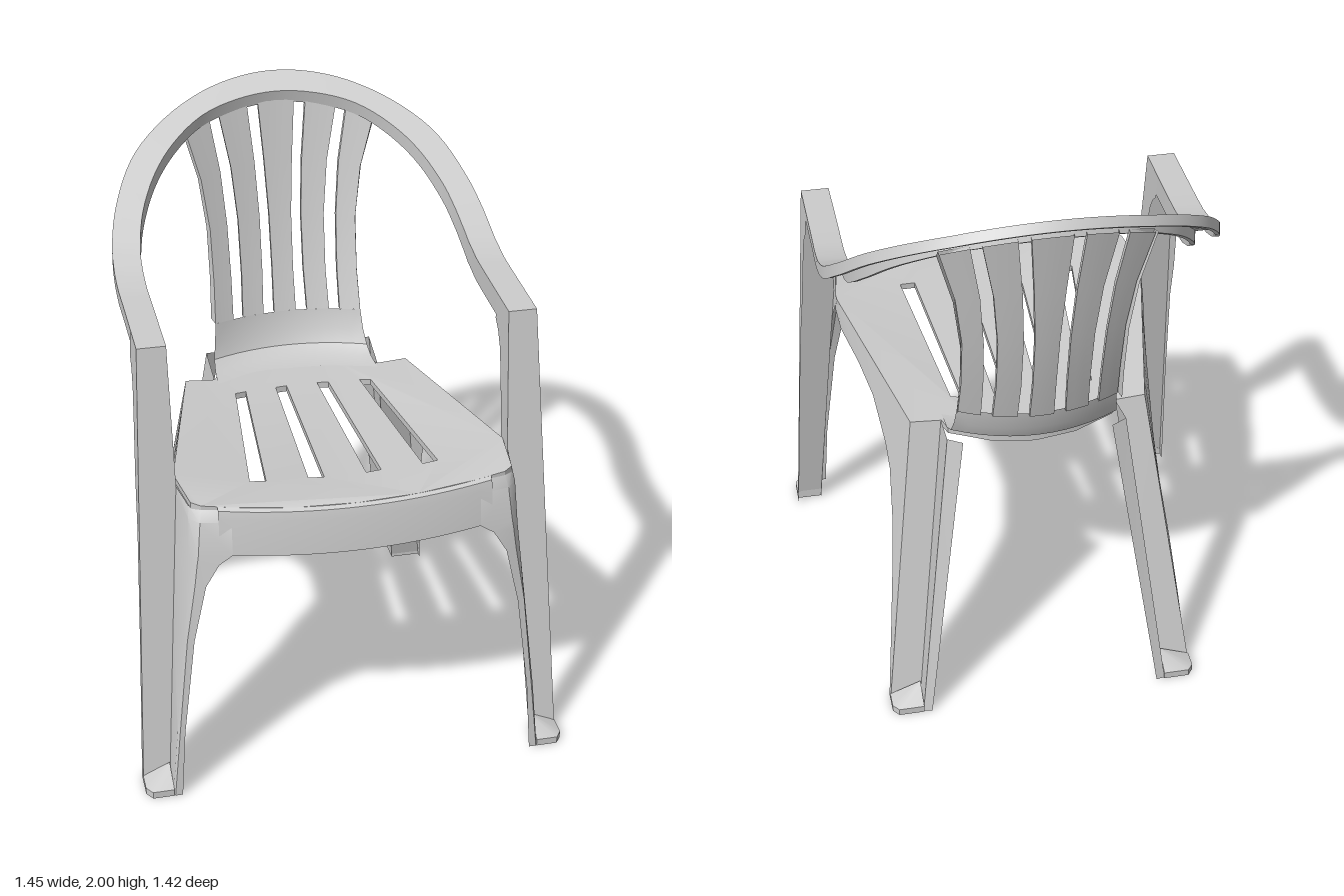
import * as THREE from 'three';
import { toCreasedNormals } from 'three/addons/utils/BufferGeometryUtils.js';

const plastic = new THREE.MeshStandardMaterial({ color: 0xcccccc, side: THREE.DoubleSide });
plastic.name = 'light grey plastic';

// Skin a list of cross-sections (rows of [x, y, z])
function loft(rows, closed = false) {
  const pos = [];
  for (let i = 0; i + 1 < rows.length; i++) {
    const a = rows[i], b = rows[i + 1], n = a.length;
    for (let j = 0; j < (closed ? n : n - 1); j++) {
      const k = (j + 1) % n;
      pos.push(...a[j], ...a[k], ...b[k], ...a[j], ...b[k], ...b[j]);
    }
  }
  const geo = new THREE.BufferGeometry();
  geo.setAttribute('position', new THREE.Float32BufferAttribute(pos, 3));
  geo.computeVertexNormals();
  return toCreasedNormals(geo, 0.6);
}

// Piecewise linear lookup in [[t, value], ...] with ascending t
function lookup(keys, t) {
  let i = 0;
  while (i < keys.length - 2 && t > keys[i + 1][0]) i++;
  const [t0, v0] = keys[i], [t1, v1] = keys[i + 1];
  return THREE.MathUtils.lerp(v0, v1, THREE.MathUtils.clamp((t - t0) / (t1 - t0), 0, 1));
}

const lerp3 = (a, b, t) => a.map((v, i) => v + (b[i] - v) * t);
const seatHeight = (x, z) => 1 + 0.05 * (z + 0.3) + 0.1 * x * x;
const seatFront = (x) => 0.665 - 0.05 * (x / 0.5) ** 2;

export function createModel() {
  const chair = new THREE.Group();
  chair.name = 'chair';
  const add = (name, geo) => {
    const mesh = new THREE.Mesh(geo, plastic);
    mesh.name = name;
    chair.add(mesh);
  };

  // Seat plate with four tapering slots
  const half = [[0.2, seatFront(0.2)], [0.4, seatFront(0.4)], [0.5, 0.615], [0.53, 0.59], [0.555, 0.4],
    [0.4, -0.3], [0.295, -0.3], [0.28, -0.34], [0.14, -0.4]];
  const outline = [[0, seatFront(0)], ...half, [0, -0.42], ...half.map(([x, z]) => [-x, z]).reverse()];
  const toShape = (pts, Type) => new Type(pts.map(([x, z]) => new THREE.Vector2(x, z)));
  const seatShape = toShape(outline, THREE.Shape);
  for (const s of [1, -1]) {
    for (const slot of [
      [[0.055, -0.21], [0.095, -0.205], [0.122, 0.47], [0.07, 0.475]],
      [[0.205, -0.19], [0.243, -0.18], [0.315, 0.465], [0.262, 0.47]],
    ]) seatShape.holes.push(toShape(slot.map(([x, z]) => [s * x, z]), THREE.Path));
  }
  const seat = new THREE.ExtrudeGeometry(seatShape, { depth: 0.022, bevelEnabled: false });
  seat.rotateX(Math.PI / 2);
  const p = seat.attributes.position;
  for (let i = 0; i < p.count; i++) p.setY(i, p.getY(i) + seatHeight(p.getX(i), p.getZ(i)));
  add('seat', toCreasedNormals(seat, 0.5));

  // Rolled front apron
  const apronRow = (dz, y) => Array.from({ length: 19 }, (_, i) => {
    const x = -0.45 + 0.05 * i;
    return [x, y(x), seatFront(x) + dz];
  });
  const top = (x) => seatHeight(x, seatFront(x));
  add('frontApron', loft([
    apronRow(0, top), apronRow(0.013, (x) => top(x) - 0.008), apronRow(0.02, (x) => top(x) - 0.035),
    apronRow(0.035, (x) => 0.89 + 0.09 * x * x),
  ]));

  // Curved lower back, sweeping up out of the seat
  const backRow = (y, z, w) => Array.from({ length: 13 }, (_, i) => {
    const x = w * (i / 6 - 1);
    return [x, y + 0.1 * x * x, z + 0.9 * x * x];
  });
  add('lowerBack', loft([
    backRow(1.002, -0.34, 0.29), backRow(1.006, -0.42, 0.285), backRow(1.03, -0.465, 0.28),
    backRow(1.08, -0.488, 0.272), backRow(1.15, -0.502, 0.265),
  ]));

  // Back slats: rows of [y, centre z, four half-width edges, outer edge]
  const slatKeys = [
    [1.15, -0.502, 0.04, 0.08, 0.158, 0.195, 0.265],
    [1.3, -0.538, 0.038, 0.075, 0.153, 0.193, 0.26],
    [1.5, -0.577, 0.04, 0.075, 0.155, 0.197, 0.262],
    [1.7, -0.608, 0.05, 0.085, 0.172, 0.212, 0.285],
    [1.92, -0.64, 0.065, 0.105, 0.21, 0.245, 0.335],
  ];
  const slatPoint = (k, x, back) => {
    const t = (k[0] - 1.15) / 0.77;
    return [x, k[0] + (0.1 - 0.7 * t) * x * x, k[1] + (0.9 - 0.25 * t) * x * x - back];
  };
  const slat = (from, to) => loft(slatKeys.map((k) => {
    const xs = [0, 1 / 3, 2 / 3, 1].map((t) => THREE.MathUtils.lerp(from(k), to(k), t));
    return [...xs.map((x) => slatPoint(k, x, 0)), ...xs.reverse().map((x) => slatPoint(k, x, 0.018))];
  }), true);
  add('centreSlat', slat((k) => -k[2], (k) => k[2]));
  for (const s of [1, -1]) {
    add('innerSlat', slat((k) => s * k[3], (k) => s * k[4]));
    add('outerSlat', slat((k) => s * k[5], (k) => s * k[6]));
    add('backSideRib', loft(slatKeys.map((k, i) => [
      slatPoint(k, s * k[6], 0), slatPoint(k, s * (k[6] + 0.008), 0.05 - 0.008 * i)])));
  }

  // Arm and top rail: one channel-shaped band running round the back
  const railHeight = [[-0.69, 2], [-0.63, 1.945], [-0.55, 1.88], [-0.46, 1.805], [-0.35, 1.71], [-0.25, 1.635],
    [-0.18, 1.59], [-0.1, 1.557], [0, 1.538], [0.385, 1.53]];
  const outer = [[0.655, 0.385], [0.655, 0.1], [0.655, -0.1], [0.645, -0.22], [0.61, -0.34], [0.54, -0.46],
    [0.44, -0.55], [0.3, -0.63], [0.15, -0.675], [0, -0.69]];
  const inner = [[0.56, 0.385], [0.56, 0.1], [0.56, -0.1], [0.553, -0.2], [0.525, -0.31], [0.47, -0.41],
    [0.385, -0.5], [0.27, -0.575], [0.14, -0.615], [0, -0.63]];
  const planCurve = (pts) => new THREE.CatmullRomCurve3(
    [...pts, ...pts.slice(0, -1).reverse().map(([x, z]) => [-x, z])].map(([x, z]) => new THREE.Vector3(x, 0, z)));
  const outerCurve = planCurve(outer), innerCurve = planCurve(inner);
  const railRows = [];
  for (let i = 0; i <= 72; i++) {
    const o = outerCurve.getPoint(i / 72), n = innerCurve.getPoint(i / 72);
    const at = (t, drop, shift) => {
      const z = THREE.MathUtils.lerp(o.z, n.z, t);
      return [THREE.MathUtils.lerp(o.x, n.x, t), lookup(railHeight, z) - drop, z - shift];
    };
    const w = THREE.MathUtils.clamp((lookup(railHeight, o.z) - 1.53) / 0.4, 0, 1);
    const lipOut = 0.05 - 0.022 * w, lipIn = 0.08 - 0.035 * w, lean = 0.02 * w;
    railRows.push([at(0, 0, 0), at(1, 0, 0), at(1, lipIn, lean * 0.5), at(0.85, lipIn, lean * 0.5),
      at(0.85, 0.018, 0), at(0.15, 0.018, 0), at(0.15, lipOut, lean), at(0, lipOut, lean)]);
  }
  add('armAndTopRail', loft(railRows, true));

  for (const s of [1, -1]) {
    const side = (rows) => rows.map((row) => row.map(([x, y, z]) => [s * x, y, z]));

    // Front post: channel section, rows of [y, outer flange rear z, inner flange rear z]
    const postKeys = [[1.53, 0.25, 0.25], [1.44, 0.25, 0.25], [1.41, 0.285, 0.285], [1.36, 0.315, 0.315],
      [1.25, 0.343, 0.343], [1.06, 0.385, 0.385], [0.97, 0.415, 0.45], [0.9, 0.44, 0.481], [0.5, 0.515, 0.542],
      [0, 0.585, 0.61]];
    const postFront = (y) => 0.62 - 0.1536 * y;
    const postInner = (y) => lookup([[0, 0.635], [1.06, 0.555], [1.53, 0.56]], y);
    add('frontPost', loft(side(postKeys.map(([y, zo, zi]) => {
      const xo = 0.725 - 0.0458 * y, xi = postInner(y), zp = postFront(y);
      return [[xo, y, zo], [xo, y, zp], [xi, y, zp], [xi, y, zi]];
    }))));

    // Front leg wing: rows of [y, wall x, wall z, corner x, corner z, inner edge x, inner edge z]
    const wingKeys = [
      [1.056, 0.535, 0.58, 0.5, 0.615, 0.41, 0.632], [1.02, 0.54, 0.6, 0.508, 0.635, 0.41, 0.652],
      [0.905, 0.545, 0.625, 0.52, 0.655, 0.41, 0.668], [0.875, 0.547, 0.628, 0.525, 0.658, 0.455, 0.669],
      [0.8, 0.555, 0.635, 0.535, 0.664, 0.5, 0.672], [0.6, 0.575, 0.66, 0.568, 0.68, 0.545, 0.683],
      [0.25, 0.612, 0.69, 0.605, 0.699, 0.588, 0.7], [0, 0.635, 0.7, 0.63, 0.71, 0.605, 0.71],
    ];
    add('frontLegWing', loft(side(wingKeys.map(([y, x1, z1, x2, z2, x3, z3]) => [
      [postInner(y), y, postFront(y)], [x1, y, z1], [x2, y, z2], [x3, y, z3]]))));

    // Rear leg: stepped channel, from the side wall round to the back
    const B = [[0.4, 1.015, -0.3], [0.535, 0, -0.545]];
    const C = [[0.297, 1.008, -0.3], [0.43, 0, -0.545]];
    const D = [[0.3, 1.04, -0.445], [0.43, 0, -0.62]];
    const E = [[0.25, 1.03, -0.462], [0.4, 0, -0.625]];
    add('rearLeg', loft(side([0, 0.15, 0.5, 1].map((t) => [B, C, D, E].map(([a, b]) => lerp3(a, b, t))))));

    // Side skirt sweeping down into the rear leg
    const edge = [[0.555, 0.42], [0.544, 0.35], [0.504, 0.17], [0.47, 0.02], [0.44, -0.12], [0.422, -0.2], [0.4, -0.3]];
    const upper = [...edge.map(([x, z]) => [x, seatHeight(x, z), z]), ...[0.4, 0.65, 1].map((t) => lerp3(B[0], B[1], t))];
    const lower = [[0.556, 1, 0.42], [0.55, 0.98, 0.33], [0.512, 0.955, 0.15], [0.485, 0.92, 0], [0.467, 0.825, -0.15],
      [0.463, 0.76, -0.21], [0.472, 0.6, -0.3], [0.49, 0.44, -0.38], [0.511, 0.24, -0.45], [0.535, 0, -0.52]];
    add('sideSkirt', loft(side([upper, lower])));

    // Feet: rounded pads rising to a point in the corner of each leg
    const foot = (name, x0, x1, z0, z1) => {
      const ring = [[x0, z0], [x1, z0], [x1, z1 - (z1 - z0) * 0.3], [x1 - 0.02, z1], [x0, z1]];
      add(name, loft(side([ring.map(() => [x0, 0, z0]), ring.map(([x, z]) => [x, 0, z]),
        ring.map(([x, z]) => [x, 0.025, z]), ring.map(() => [x0, 0.068, z0])]), true));
    };
    foot('frontFoot', 0.633, 0.725, 0.615, 0.71);
    foot('rearFoot', 0.428, 0.535, -0.542, -0.625);
  }
  return chair;
}
